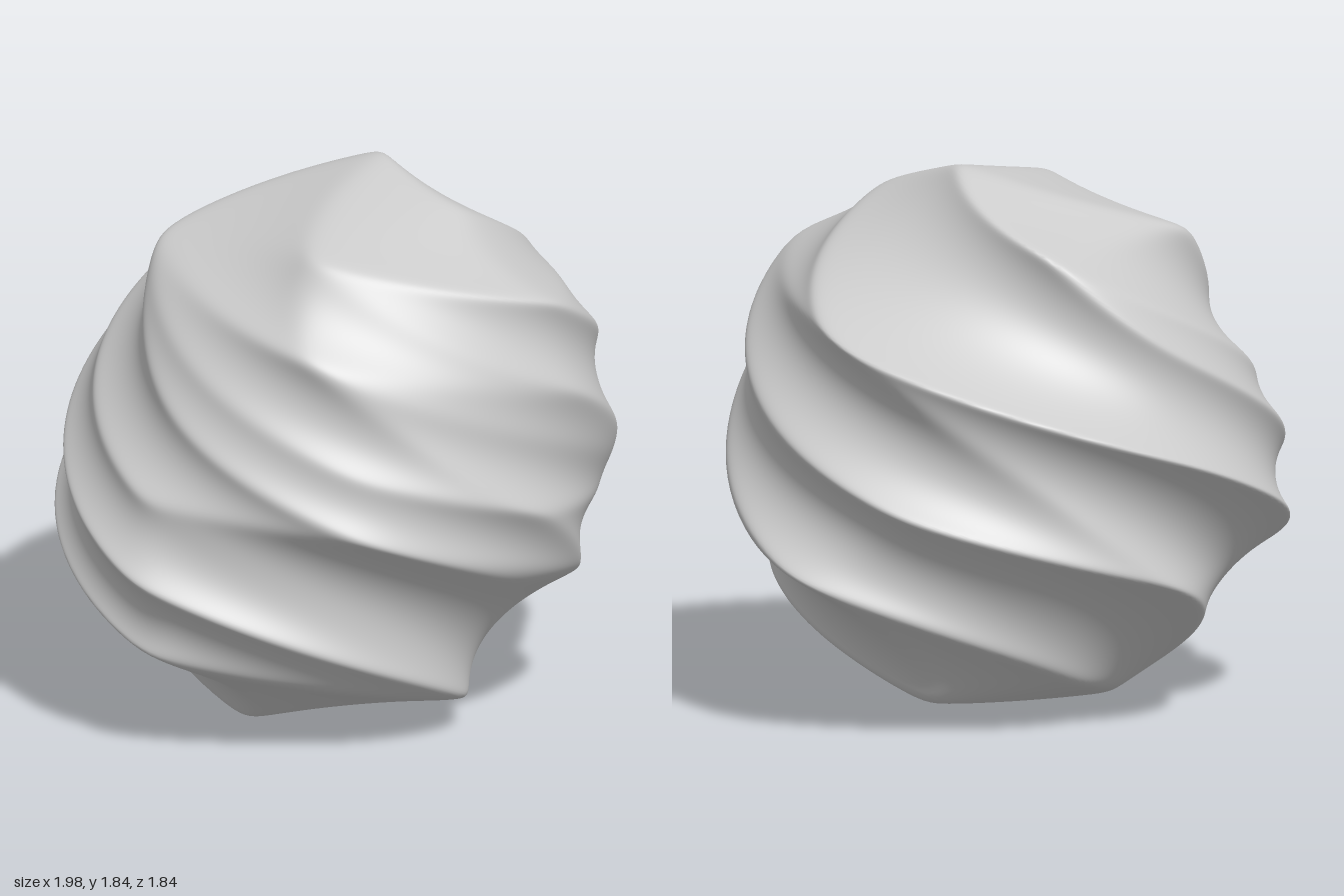
import * as THREE from 'three';
import { ConvexGeometry } from 'three/addons/geometries/ConvexGeometry.js';
import { mergeVertices } from 'three/addons/utils/BufferGeometryUtils.js';

const TWIST = 135;      // degrees of turn per unit of height
const MID = 0.92;       // height of the body's centre, where the twist is zero
const SHARPNESS = 70;   // higher values give tighter rounding of the edges
const SWELL = 1.02;     // makes up for what the rounding takes off the corners
const DETAIL = 66;      // fineness of the surface

// Corners of the untwisted stone: angle from the front, distance from the axis, height
const CORNERS = [
  // crown
  [214, .24, 1.84], [53, .54, 1.70], [139, .44, 1.735], [318, .58, 1.61],
  // shoulder
  [95, .84, 1.50], [243, .63, 1.60], [153, .88, 1.33], [231, .77, 1.30], [15, .79, 1.40],
  // waist
  [55, .91, 1.19], [305, .79, 1.18], [334, .87, 1.04], [92, .93, .92], [181, .93, .92],
  [267, .90, .90], [350, .92, .85], [43, .95, .85], [309, .93, .83], [96, .94, .78], [234, 1.0, .65],
  // hips
  [40, 1.0, .55], [314, .82, .58], [123, .83, .50], [337, .82, .46], [196, .92, .37],
  // foot
  [139, .38, 0], [254, .60, .12], [355, .56, .09], [62, .51, .15],
];

// Outward planes of the convex stone, each as its normal divided by its distance from the centre
function facePlanes() {
  const points = CORNERS.map(([deg, r, y]) => {
    const a = THREE.MathUtils.degToRad(deg);
    return new THREE.Vector3(r * Math.sin(a), y - MID, r * Math.cos(a)).multiplyScalar(SWELL);
  });
  const { position, normal } = new ConvexGeometry(points).attributes;
  const planes = [];
  for (let i = 0; i < position.count; i += 3) {
    const n = new THREE.Vector3().fromBufferAttribute(normal, i);
    const p = new THREE.Vector3().fromBufferAttribute(position, i);
    planes.push(n.divideScalar(n.dot(p)));
  }
  return planes;
}

function twistedStone() {
  const planes = facePlanes();
  const ball = new THREE.IcosahedronGeometry(1, DETAIL);
  ball.deleteAttribute('normal');
  ball.deleteAttribute('uv');
  const g = mergeVertices(ball);
  const pos = g.attributes.position;
  const up = new THREE.Vector3(0, 1, 0);
  const v = new THREE.Vector3();

  // Push the ball out to the planes with softened edges, then turn each point by its height
  for (let i = 0; i < pos.count; i++) {
    v.fromBufferAttribute(pos, i).normalize();
    let sum = 0;
    for (const plane of planes) sum += Math.max(0, plane.dot(v)) ** SHARPNESS;
    v.multiplyScalar(sum ** (-1 / SHARPNESS));
    v.applyAxisAngle(up, -THREE.MathUtils.degToRad(TWIST * v.y));
    pos.setXYZ(i, v.x, v.y, v.z);
  }

  // Centre it and stand it on the ground
  g.computeBoundingBox();
  const mid = g.boundingBox.getCenter(new THREE.Vector3());
  g.translate(-mid.x, -g.boundingBox.min.y, -mid.z);
  g.computeVertexNormals();
  return g;
}

export function createModel() {
  const group = new THREE.Group();
  group.name = 'twistedStone';
  const body = new THREE.Mesh(twistedStone(), new THREE.MeshStandardMaterial({ color: 0xcccccc }));
  body.name = 'stoneBody';
  group.add(body);
  return group;
}
